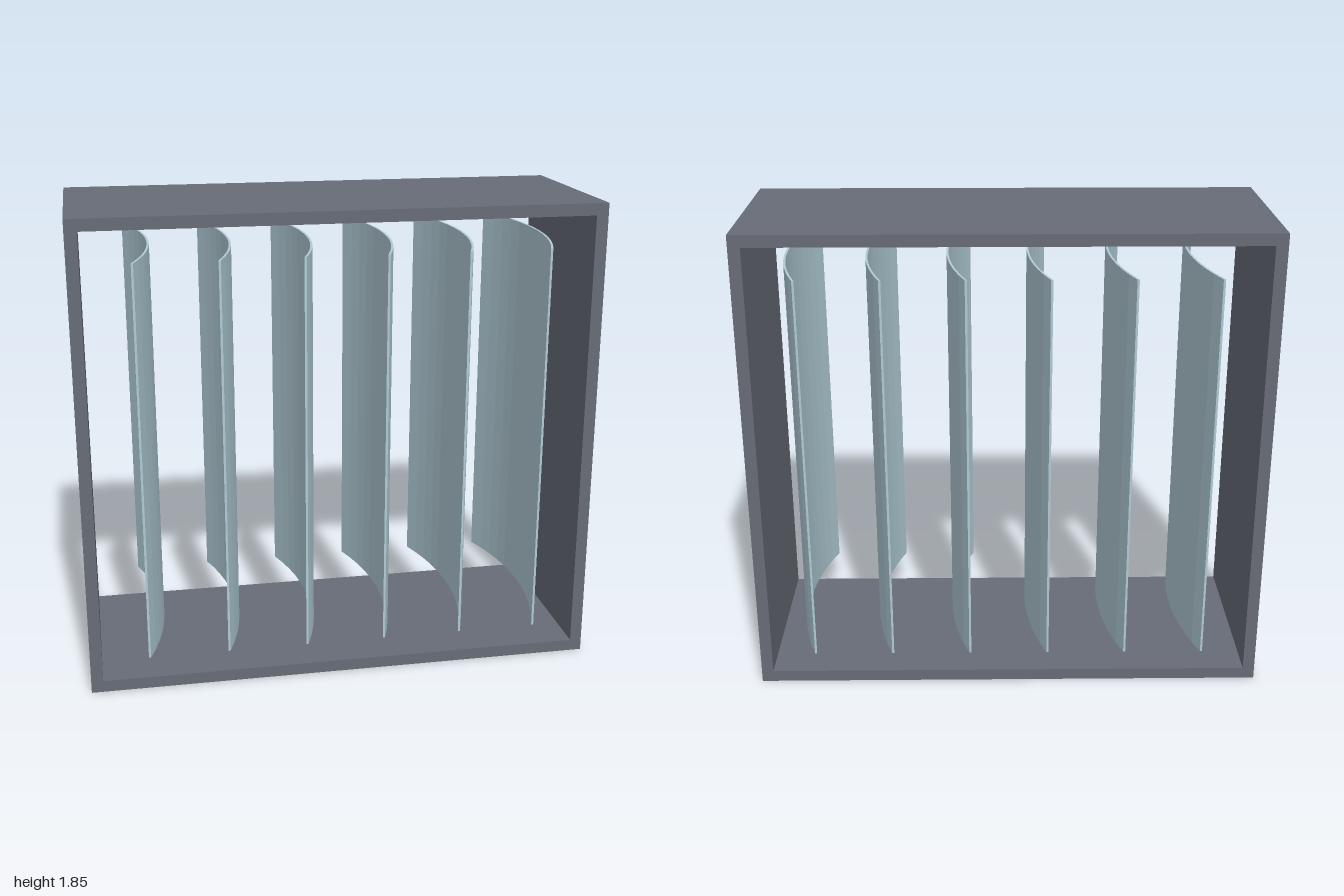
import * as THREE from 'three';

const W = 2, H = 1.85, D = 0.77, WALL = 0.046;

export function createModel() {
  const model = new THREE.Group();
  model.name = 'louvreUnit';

  const frameGrey = new THREE.MeshStandardMaterial({ color: 0x686c77 });
  frameGrey.name = 'frame grey';
  const paleBlue = new THREE.MeshStandardMaterial({ color: 0xb1ccd6 });
  paleBlue.name = 'pale blue';

  // Open box frame: a rectangle with a rectangular hole, extruded front to back
  const outline = new THREE.Shape();
  outline.moveTo(-W / 2, 0).lineTo(W / 2, 0).lineTo(W / 2, H).lineTo(-W / 2, H).closePath();
  const opening = new THREE.Path();
  const ix = W / 2 - WALL;
  opening.moveTo(-ix, WALL).lineTo(-ix, H - WALL).lineTo(ix, H - WALL).lineTo(ix, WALL).closePath();
  outline.holes.push(opening);
  const frameGeometry = new THREE.ExtrudeGeometry(outline, { depth: D, bevelEnabled: false });
  frameGeometry.translate(0, 0, -D / 2);
  const frame = new THREE.Mesh(frameGeometry, frameGrey);
  frame.name = 'frame';
  model.add(frame);

  // Curved vane: a thin arc in plan, bowed towards +x, extruded upwards
  const halfDepth = 0.43, bow = 0.077, thickness = 0.0085;
  const radius = (halfDepth ** 2 + bow ** 2) / (2 * bow);
  const sweep = Math.asin(halfDepth / radius);
  const steps = 12, outer = [], inner = [];
  for (let i = 0; i <= steps; i++) {
    const a = -sweep + (2 * sweep * i) / steps;
    const x = radius * (Math.cos(a) - 1) + bow;
    const y = radius * Math.sin(a);
    outer.push(new THREE.Vector2(x + thickness, y));
    inner.unshift(new THREE.Vector2(x, y));
  }
  const vaneGeometry = new THREE.ExtrudeGeometry(new THREE.Shape([...outer, ...inner]), {
    depth: 1.54, bevelEnabled: false,
  });
  vaneGeometry.rotateX(-Math.PI / 2);

  // Row of six vanes
  for (let i = 0; i < 6; i++) {
    const vane = new THREE.Mesh(vaneGeometry, paleBlue);
    vane.name = `vane${i + 1}`;
    vane.position.set(-0.775 + 0.308 * i, 0.155, 0);
    model.add(vane);
  }
  return model;
}
